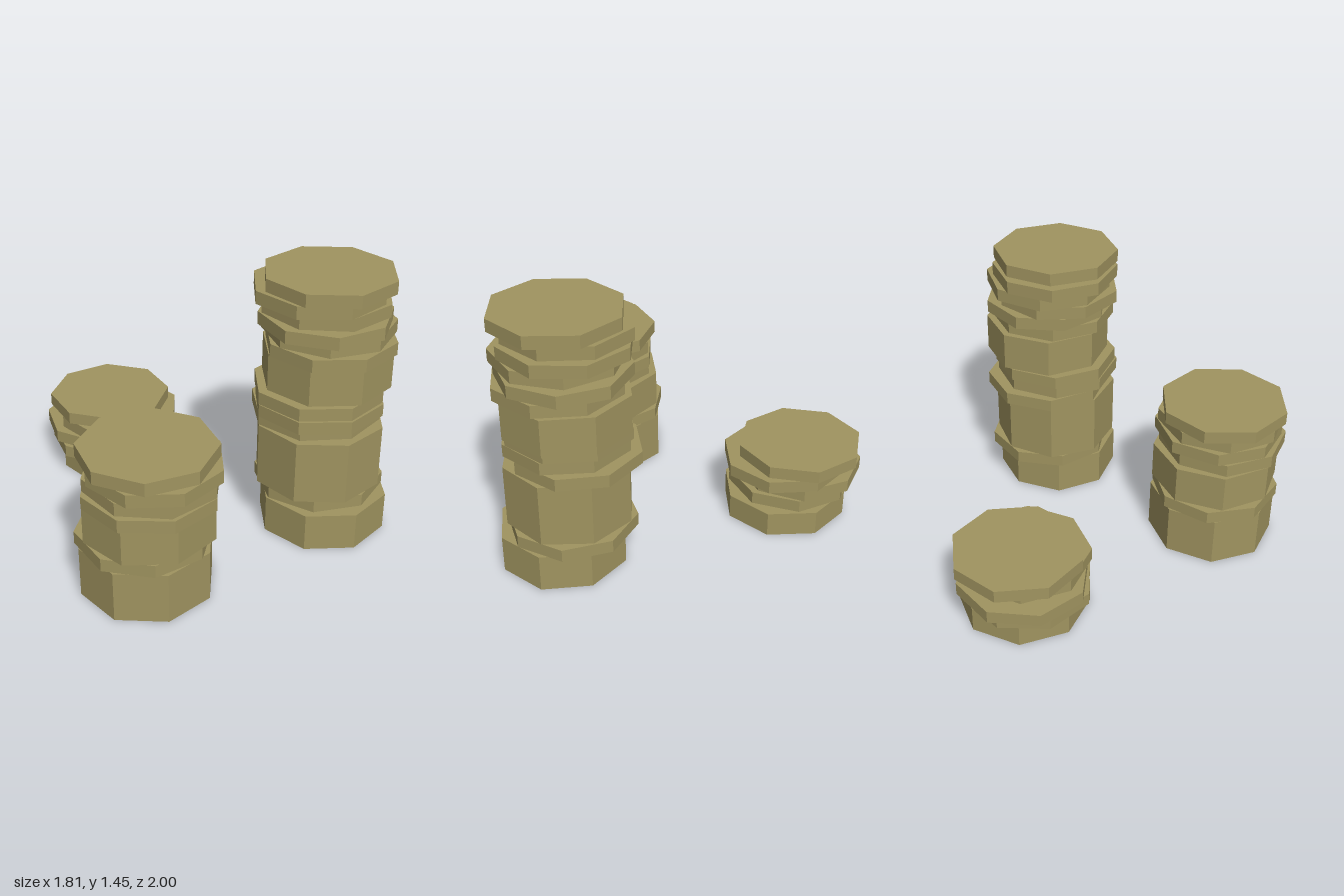
import * as THREE from 'three';

const RADIUS = 0.349;   // corner radius of an octagonal coin
const UNIT = 0.0692;    // thickness of one coin

// Each layer: [coins thick, centre x, centre z, turn in degrees], bottom to top
const STACKS = {
  tallStack: [
    [3, 0.54, 0.46, 0],
    [1, 0.545, 0.40, -11],
    [5, 0.52, 0.42, 5],
    [1, 0.525, 0.365, -2],
    [1, 0.505, 0.425, 2],
    [1, 0.507, 0.41, 1],
    [3, 0.558, 0.40, 0],
    [1, 0.55, 0.437, 1],
    [1, 0.56, 0.40, 30],
    [1, 0.512, 0.44, 20.5],
    [1, 0.54, 0.39, 8],
    [1, 0.49, 0.394, 3.5],
    [1, 0.526, 0.437, 5.6],
  ],
  mediumStack: [
    [4, -0.556, 0.588, 5.5],
    [1, -0.567, 0.585, 14],
    [3, -0.546, 0.606, 0],
    [1, -0.553, 0.646, 4],
    [1, -0.534, 0.628, 8],
    [1, -0.532, 0.65, 0],
    [1, -0.556, 0.63, 25],
  ],
  shortStack: [
    [2, -0.23, -0.598, 4],
    [1, -0.28, -0.619, 26],
    [1, -0.295, -0.667, -15],
    [1, -0.233, -0.59, 3],
    [1, -0.262, -0.671, 18],
  ],
};

// Pile the layers of one stack on each other
function buildStack(name, layers, material) {
  const stack = new THREE.Group();
  stack.name = name;
  let y = 0;
  layers.forEach(([count, x, z, turn], i) => {
    const height = count * UNIT;
    // Corners start on +x, so a zero turn points a corner sideways
    const coin = new THREE.Mesh(
      new THREE.CylinderGeometry(RADIUS, RADIUS, height, 8), material);
    coin.name = `coinLayer${i + 1}`;
    coin.position.set(x, y + height / 2, z);
    coin.rotation.y = -THREE.MathUtils.degToRad(turn);
    stack.add(coin);
    y += height;
  });
  return stack;
}

export function createModel() {
  const model = new THREE.Group();
  model.name = 'coinStacks';
  const material = new THREE.MeshStandardMaterial({ color: 0xa09460, flatShading: true });
  for (const [name, layers] of Object.entries(STACKS)) {
    model.add(buildStack(name, layers, material));
  }
  return model;
}
